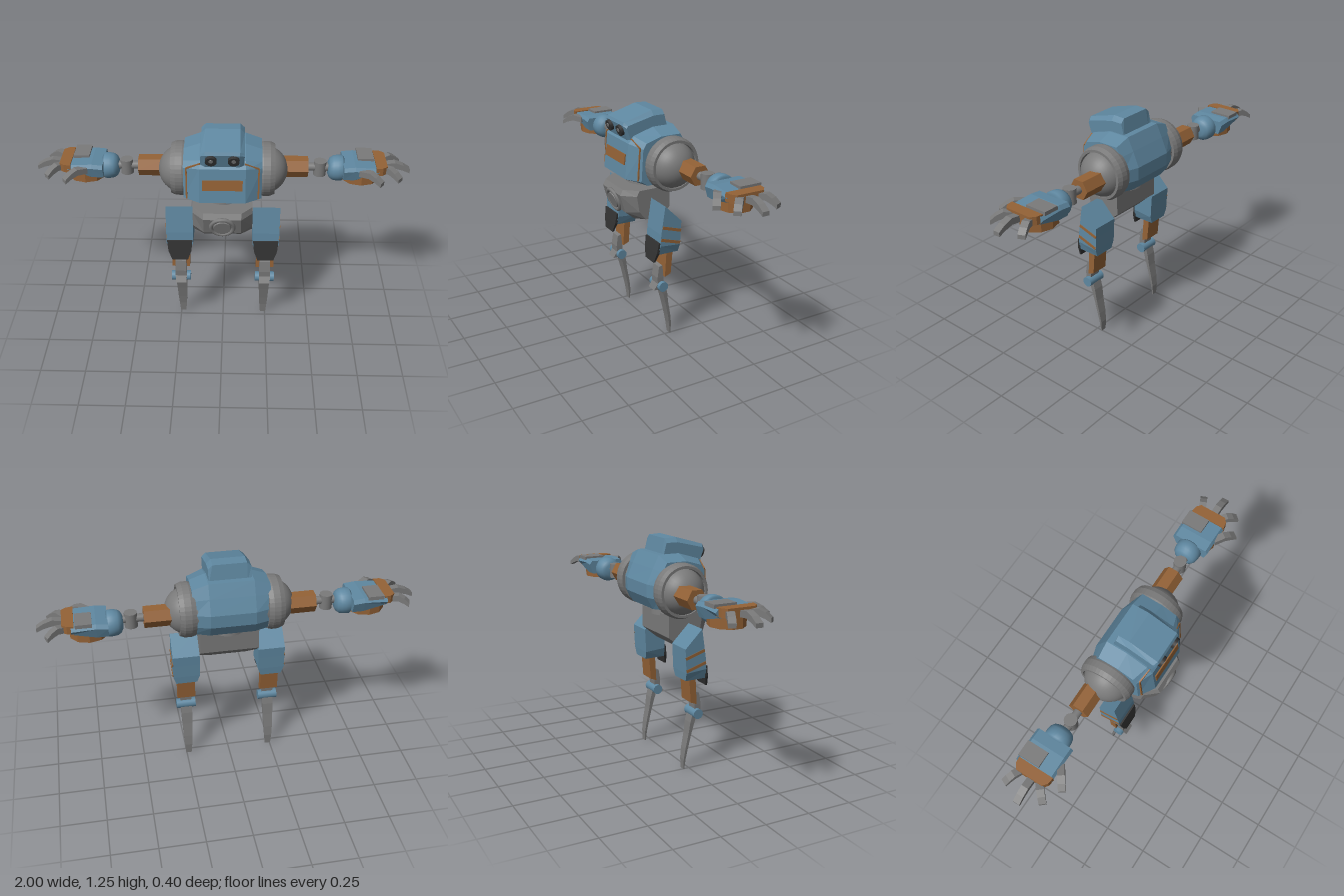
import * as THREE from 'three';

const mat = (name, color) => {
  const m = new THREE.MeshStandardMaterial({ color });
  m.name = name;
  return m;
};

// Reverse the corner order of every triangle in a non-indexed geometry
function flip(g) {
  for (const key of Object.keys(g.attributes)) {
    const a = g.attributes[key], n = a.itemSize;
    for (let i = 0; i < a.count; i += 3) for (let k = 0; k < n; k++) {
      const p = i * n + k, q = (i + 2) * n + k;
      [a.array[p], a.array[q]] = [a.array[q], a.array[p]];
    }
  }
  return g;
}

// Flat-shaded solid through a row of equal-length rings of [x, y, z] points
function loft(rings) {
  const tris = [], n = rings[0].length;
  for (let r = 0; r + 1 < rings.length; r++) for (let i = 0; i < n; i++) {
    const j = (i + 1) % n, A = rings[r], B = rings[r + 1];
    tris.push(A[i], A[j], B[j], A[i], B[j], B[i]);
  }
  const last = rings[rings.length - 1];
  for (let i = 1; i + 1 < n; i++) {
    tris.push(rings[0][0], rings[0][i + 1], rings[0][i], last[0], last[i], last[i + 1]);
  }
  const g = new THREE.BufferGeometry();
  g.setAttribute('position', new THREE.Float32BufferAttribute(tris.flat(), 3));
  let volume = 0;
  const v = tris.map(t => new THREE.Vector3(...t));
  for (let i = 0; i < v.length; i += 3) volume += v[i].dot(v[i + 1].clone().cross(v[i + 2]));
  if (volume < 0) flip(g);
  g.computeVertexNormals();
  return g;
}

// Loft across x, with [z, y] profiles: chamfered towards both ends
const across = (xIn, inner, xOut, outer) => loft(
  [[-xOut, outer], [-xIn, inner], [xIn, inner], [xOut, outer]]
    .map(([x, prof]) => prof.map(([z, y]) => [x, y, z])));

const box = (w, h, d, x, y, z) => new THREE.BoxGeometry(w, h, d).translate(x, y, z);

// Solid turned about the x axis, profile as [radius, x]
const turnedX = (prof, y, z, seg = 32) =>
  new THREE.LatheGeometry(prof.map(p => new THREE.Vector2(...p)), seg)
    .rotateZ(-Math.PI / 2).translate(0, y, z);

const rodX = (r, x0, x1, y, z, seg = 20) =>
  new THREE.CylinderGeometry(r, r, x1 - x0, seg).rotateZ(Math.PI / 2).translate((x0 + x1) / 2, y, z);

// Thin bar between two points
function bar(a, b, w, h) {
  const A = new THREE.Vector3(...a), B = new THREE.Vector3(...b);
  const m = new THREE.Matrix4().lookAt(B, A, new THREE.Vector3(0, 1, 0));
  m.setPosition(A.clone().add(B).multiplyScalar(0.5));
  return new THREE.BoxGeometry(w, h, A.distanceTo(B)).applyMatrix4(m);
}

// Curved finger from (x, z) along an angle in plan
function finger(x, z, angle, length, y = 1.005) {
  const c = Math.cos(angle), s = Math.sin(angle);
  const path = [[0, 0, 0.016], [0.45, 0.008, 0.017], [0.75, -0.006, 0.015], [1, -0.026, 0.011]];
  return loft(path.map(([t, dy, h]) => [[-1, -1], [1, -1], [1, 1], [-1, 1]].map(([u, v]) =>
    [x + c * t * length - s * u * 0.019, y + dy + v * h, z + s * t * length + c * u * 0.019])));
}

export function createModel() {
  const blue = mat('blue armour', 0x5f88a1);
  const gray = mat('gray metal', 0x7a7a7a);
  const brown = mat('copper brown', 0x946236);
  const dark = mat('dark rubber', 0x333333);

  const model = new THREE.Group();
  model.name = 'robot';
  const add = (parent, name, geometry, material) => {
    const m = new THREE.Mesh(geometry.index ? geometry.toNonIndexed() : geometry, material);
    m.name = name;
    parent.add(m);
    return m;
  };
  const flat = g => {
    const f = g.toNonIndexed();
    f.computeVertexNormals();
    return f;
  };

  // Torso shell and inner core
  add(model, 'torsoShell', across(
    0.12, [[0.174, 0.91], [0.153, 1.1], [0.12, 1.135], [0.005, 1.17], [-0.115, 1.17],
      [-0.15, 1.1], [-0.186, 1.02], [-0.186, 0.95], [-0.15, 0.885], [0.1, 0.88]],
    0.205, [[0.122, 0.91], [0.112, 1.085], [0.092, 1.115], [0.005, 1.14], [-0.11, 1.14],
      [-0.135, 1.09], [-0.16, 1.02], [-0.16, 0.95], [-0.135, 0.895], [0.085, 0.885]]), blue);
  add(model, 'core', rodX(0.125, -0.21, 0.21, 0.993, -0.043, 32), gray);
  add(model, 'waist', new THREE.CylinderGeometry(0.085, 0.095, 0.09, 24).translate(0, 0.875, 0), gray);
  add(model, 'chestBadge', bar([0, 0.983, 0.168], [0, 1.04, 0.1617], 0.21, 0.008), brown);

  // Head
  add(model, 'head', across(
    0.09, [[0.14, 1.1], [0.17, 1.19], [0.162, 1.207], [0, 1.253], [-0.065, 1.25], [-0.085, 1.15], [-0.085, 1.1]],
    0.113, [[0.13, 1.1], [0.158, 1.18], [0.15, 1.192], [0, 1.228], [-0.065, 1.228], [-0.085, 1.15], [-0.085, 1.1]]), blue);

  // Pelvis with its round front boss
  add(model, 'pelvis', across(
    0.1, [[0.177, 0.845], [0.194, 0.815], [0.164, 0.715], [0.11, 0.67], [-0.018, 0.67], [-0.075, 0.725], [-0.075, 0.845]],
    0.16, [[0.11, 0.845], [0.125, 0.815], [0.11, 0.725], [0.07, 0.677], [-0.018, 0.677], [-0.075, 0.725], [-0.075, 0.845]]), gray);
  add(model, 'pelvisRing', new THREE.TorusGeometry(0.06, 0.011, 8, 32)
    .rotateX(0.29).translate(0, 0.76, 0.179), gray);
  add(model, 'pelvisBoss', new THREE.CylinderGeometry(0.045, 0.05, 0.02, 28)
    .rotateX(Math.PI / 2 + 0.29).translate(0, 0.76, 0.179), gray);

  // Everything below is the left side, mirrored at the end
  const side = new THREE.Group();
  side.name = 'leftSide';
  model.add(side);

  // Eye
  const eye = (r, len, z) => new THREE.CylinderGeometry(r, r, len, 20)
    .rotateX(Math.PI / 2 + 0.32).translate(0.058, 1.162, z);
  add(side, 'eye', eye(0.03, 0.035, 0.16), dark);
  add(side, 'pupil', eye(0.011, 0.006, 0.179), gray);

  // Chest trim
  add(side, 'chestTrim', bar([0.188, 0.913, 0.133], [0.188, 1.088, 0.121], 0.008, 0.008), brown);
  add(side, 'chestTrimTop', bar([0.188, 1.088, 0.121], [0.115, 1.122, 0.133], 0.008, 0.008), brown);

  // Shoulder
  const dome = [];
  for (let i = 0; i <= 12; i++) {
    const a = i / 12 * Math.PI / 2;
    dome.push([0.126 * Math.cos(a), 0.225 + 0.12 * Math.sin(a)]);
  }
  dome[12][0] = 0;
  add(side, 'shoulderDome', turnedX(dome, 0.99, -0.043), gray);
  add(side, 'shoulderRing', flat(turnedX([[0.11, 0.19], [0.14, 0.19], [0.147, 0.215], [0.146, 0.25],
    [0.136, 0.275], [0.122, 0.275], [0.118, 0.24]], 0.993, -0.043, 40)), gray);

  // Arm
  const ay = 0.99, az = -0.074;
  add(side, 'upperArm', flat(rodX(0.057, 0.315, 0.455, ay, az, 6)), brown);
  add(side, 'armRod', rodX(0.022, 0.44, 0.6, ay, az, 16), gray);
  add(side, 'elbow', new THREE.CylinderGeometry(0.034, 0.034, 0.082, 20).translate(0.52, 0.985, az), gray);
  add(side, 'wrist', turnedX([[0, 0.56], [0.035, 0.563], [0.055, 0.573], [0.066, 0.59],
    [0.07, 0.612], [0.07, 0.638], [0.06, 0.648], [0, 0.648]], 0.98, -0.083, 28), blue);

  // Hand
  const hand = [[0.64, 0.955, 1.03], [0.7, 0.955, 1.036], [0.825, 0.985, 1.03]];
  add(side, 'hand', loft(hand.map(([x, lo, hi]) =>
    [[x, lo, -0.17], [x, lo, 0.005], [x, hi - 0.02, 0.022], [x, hi, 0.01],
      [x, hi, -0.175], [x, hi - 0.02, -0.19]])), blue);
  add(side, 'handPlate', box(0.085, 0.02, 0.12, 0.762, 1.036, -0.126), gray);
  add(side, 'knuckles', loft([[0.81, 0.1], [0.845, 0.095], [0.87, 0.075]].map(([x, w]) =>
    [[x, 0.992, -0.078 - w], [x, 0.992, -0.078 + w], [x, 1.036, -0.078 + w], [x, 1.036, -0.078 - w]])), brown);
  add(side, 'palm', flat(new THREE.CylinderGeometry(0.1, 0.1, 0.06, 10)
    .scale(1.02, 1, 0.9).translate(0.738, 0.956, -0.078)), brown);
  [[0.85, -0.07, 0, 0.15], [0.85, -0.135, -0.42, 0.11], [0.85, -0.035, 0.72, 0.115], [0.73, 0.01, 0.62, 0.13]]
    .forEach(([x, z, a, l], i) => add(side, i < 3 ? 'finger' : 'thumb', finger(x, z, a, l), gray));

  // Thigh: slanted top, tapering below the stripes
  const lx = 0.238;
  const slab = rows => loft(rows.map(([w, zf, yf, zb, yb]) =>
    [[lx - w, yf, zf], [lx + w, yf, zf], [lx + w, yb, zb], [lx - w, yb, zb]]));
  add(side, 'thigh', slab([[0.074, 0.041, 0.797, -0.058, 0.698], [0.074, 0.064, 0.64, -0.055, 0.64],
    [0.074, 0.068, 0.575, -0.052, 0.565], [0.058, 0.071, 0.522, -0.048, 0.52]]), blue);
  add(side, 'thighStripe', bar([0.312, 0.68, 0.056], [0.312, 0.645, -0.055], 0.006, 0.016), brown);
  add(side, 'thighStripe', bar([0.312, 0.612, 0.064], [0.312, 0.576, -0.051], 0.006, 0.016), brown);
  add(side, 'kneePlate', slab([[0.07, 0.076, 0.592, 0.062, 0.592], [0.064, 0.085, 0.53, 0.069, 0.53],
    [0.044, 0.092, 0.475, 0.083, 0.475]]), dark);

  // Lower leg
  add(side, 'shin', slab([[0.05, 0.015, 0.56, -0.024, 0.56], [0.05, 0.025, 0.378, -0.011, 0.392]]), brown);
  add(side, 'ankleGuard', slab([[0.03, 0.05, 0.434, 0.03, 0.44], [0.032, 0.06, 0.37, 0.022, 0.37],
    [0.032, 0.058, 0.335, 0.025, 0.32], [0.03, 0.08, 0.3, 0.03, 0.298]]), gray);
  add(side, 'ankleJoint', rodX(0.028, 0.184, 0.292, 0.32, 0.034, 16), blue);
  add(side, 'footBlade', slab([[0.031, 0.042, 0.32, 0.012, 0.32], [0.031, 0.022, 0.265, -0.002, 0.27],
    [0.028, 0.005, 0.2, -0.012, 0.2], [0.025, -0.013, 0.12, -0.028, 0.12],
    [0.021, -0.024, 0.06, -0.036, 0.06], [0.016, -0.03, 0, -0.035, 0]]), gray);

  // Mirrored right side
  const right = new THREE.Group();
  right.name = 'rightSide';
  for (const m of side.children) {
    add(right, m.name, flip(m.geometry.clone().scale(-1, 1, 1)), m.material);
  }
  model.add(right);
  return model;
}
